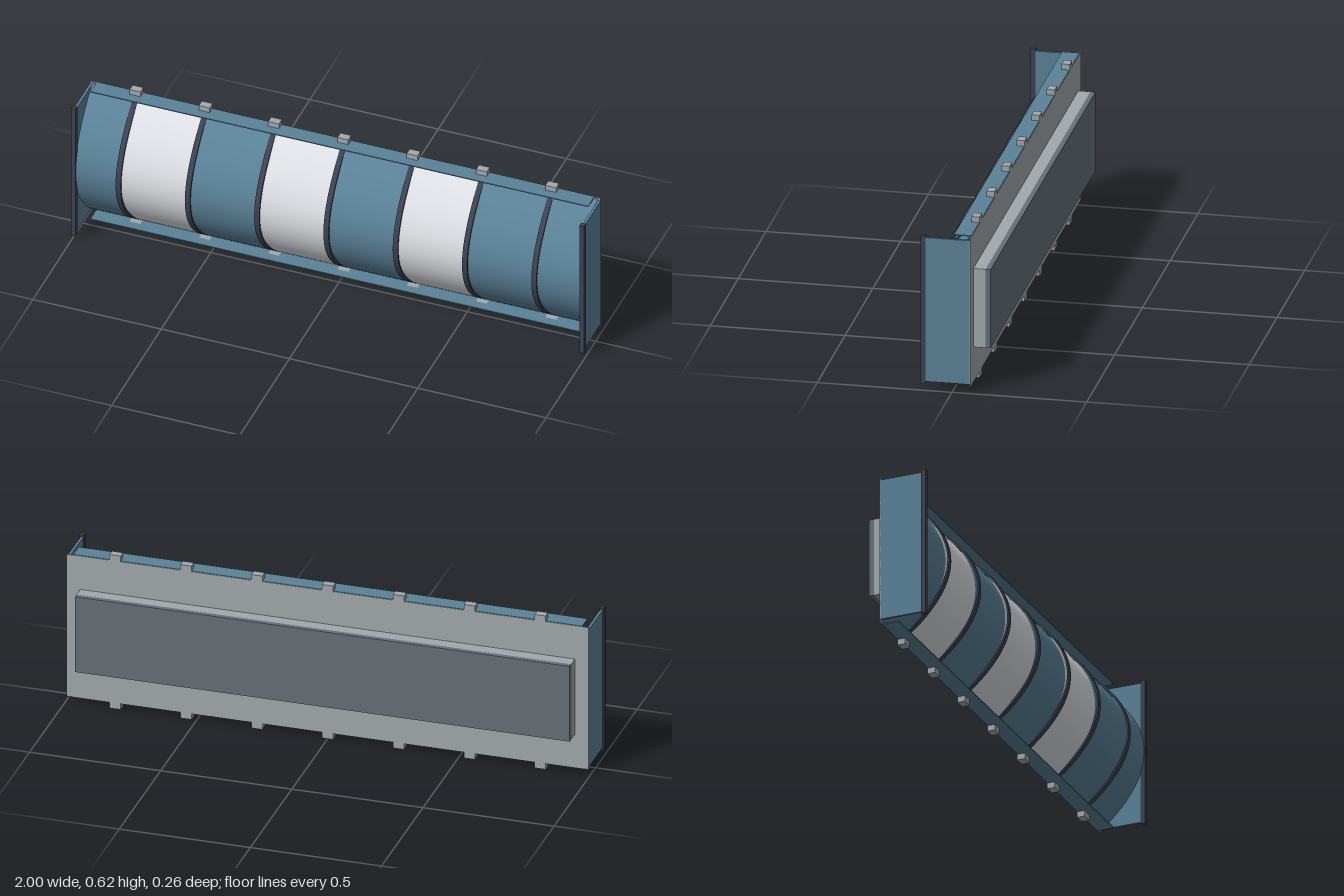
import * as THREE from 'three';

const MID_Y = 0.312;
const mat = (color) => new THREE.MeshStandardMaterial({ color, side: THREE.DoubleSide });

export function createModel() {
  const model = new THREE.Group();
  const blue = mat(0x5a8298), white = mat(0xdddfe4), dark = mat(0x3c4250);
  const grey = mat(0xa2a8ac), slate = mat(0x667078);

  const add = (name, geometry, material) => {
    const mesh = new THREE.Mesh(geometry, material);
    mesh.name = name;
    model.add(mesh);
    return mesh;
  };
  // Box given by its limits on each axis
  const box = (name, material, [x0, x1], [y0, y1], [z0, z1]) =>
    add(name, new THREE.BoxGeometry(x1 - x0, y1 - y0, z1 - z0), material)
      .position.set((x0 + x1) / 2, (y0 + y1) / 2, (z0 + z1) / 2);

  // Parabolic bow: a strip from x0 to x1, bulging forward to z = peak
  const bow = (name, material, x0, x1, peak, thickness, end = -0.06, half = 0.285) => {
    const n = 40, outer = [], inner = [];
    for (let i = 0; i <= n; i++) {
      const t = (i / n) * 2 - 1;
      const z = peak - (peak - end) * t * t;
      // normal of the curve, for an even thickness
      const normal = new THREE.Vector2(1, (2 * (peak - end) * t) / half).normalize();
      outer.push(new THREE.Vector2(z, t * half));
      inner.unshift(new THREE.Vector2(z - normal.x * thickness, t * half - normal.y * thickness));
    }
    const geometry = new THREE.ExtrudeGeometry(new THREE.Shape([...outer, ...inner]),
      { depth: x1 - x0, bevelEnabled: false });
    geometry.rotateY(-Math.PI / 2); // profile x -> z, extrusion -> -x
    geometry.translate(x1, MID_Y, 0);
    add(name, geometry, material);
  };

  // Curved cover panels, alternating in colour between the ribs
  const ribs = [-0.81, -0.54, -0.27, 0, 0.27, 0.54, 0.81];
  const edges = [-0.985, ...ribs, 0.985];
  for (let i = 0; i < edges.length - 1; i++) {
    const isWhite = i === 1 || i === 3 || i === 5;
    bow('coverPanel', isWhite ? white : blue, edges[i], edges[i + 1], 0.113, 0.003);
  }

  // Bowed ribs with a clip at each end
  for (const x of ribs) {
    bow('rib', dark, x - 0.01, x + 0.01, 0.132, 0.007);
    box('topClip', grey, [x - 0.021, x + 0.021], [0.597, 0.623], [-0.068, -0.038]);
    box('bottomClip', grey, [x - 0.021, x + 0.021], [0, 0.026], [-0.068, -0.038]);
  }

  // End plates with dark front trims
  for (const s of [-1, 1]) {
    const span = (a, b) => (s > 0 ? [a, b] : [-b, -a]);
    box('endPlate', blue, span(0.985, 0.995), [0.033, 0.591], [-0.066, 0.1]);
    box('endTrim', dark, span(0.982, 1), [0.025, 0.6], [0.099, 0.117]);
  }

  // Thin top and bottom flanges
  for (const y of [0.024, 0.6])
    box('flange', blue, [-0.97, 0.97], [y - 0.002, y + 0.002], [-0.066, -0.002]);

  // Back panel and the mounting block behind it
  box('backPanel', grey, [-0.995, 0.995], [0.024, 0.6], [-0.068, -0.064]);
  box('mountBlock', grey, [-0.943, 0.943], [0.16, 0.465], [-0.113, -0.066]);
  box('mountPlate', slate, [-0.943, 0.943], [0.16, 0.465], [-0.132, -0.113]);

  return model;
}
